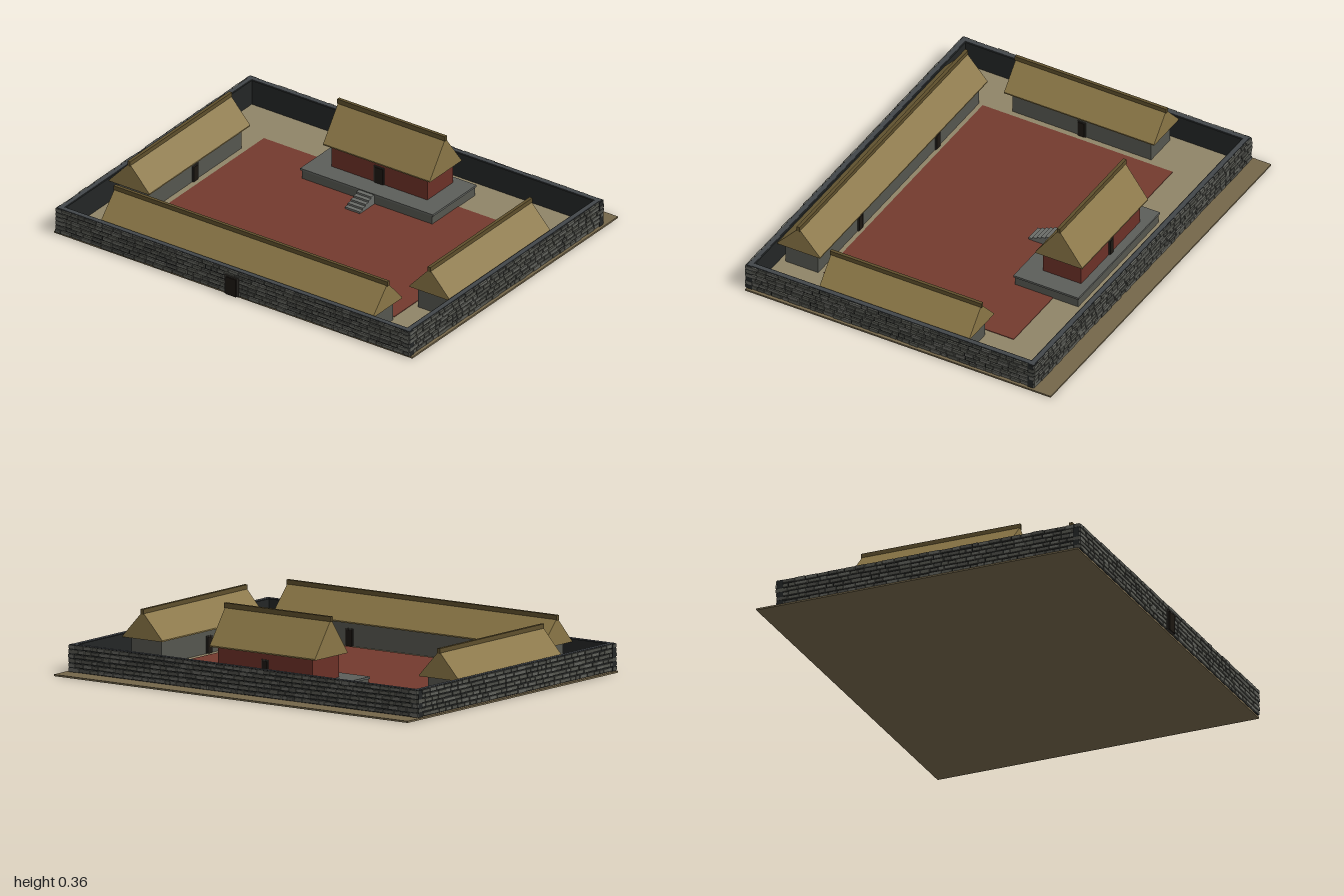
import * as THREE from 'three';
import { mergeGeometries } from 'three/addons/utils/BufferGeometryUtils.js';

const mat = (color) => new THREE.MeshStandardMaterial({ color });
const M = {
  earth: mat(0x74664a), sand: mat(0x8f8468), court: mat(0x733a2e),
  mortar: mat(0x232626), cap: mat(0x42464a), plaster: mat(0x55564f),
  platform: mat(0x5c5e5a), step: mat(0x6a6c68), redWall: mat(0x6b3027),
  thatch: mat(0x8a7646), ridge: mat(0x5e4f2c), dark: mat(0x1c1712), frame: mat(0x33302b),
};
const stoneMats = [0x55564f, 0x4b4c47, 0x5f605a].map(mat);

// Small seeded generator for the masonry
let seed = 7;
const rand = () => (seed = (seed * 16807) % 2147483647) / 2147483647;

// Box given by its minimum and maximum on each axis
function box(parent, name, material, x0, x1, y0, y1, z0, z1) {
  const mesh = new THREE.Mesh(new THREE.BoxGeometry(x1 - x0, y1 - y0, z1 - z0), material);
  mesh.position.set((x0 + x1) / 2, (y0 + y1) / 2, (z0 + z1) / 2);
  mesh.name = name;
  parent.add(mesh);
  return mesh;
}

// One run of wall along local x, with its outer face towards local +z
function stoneWall(name, length) {
  const wall = new THREE.Group();
  wall.name = name;
  const h = 0.135, base = 0.008, rows = 6, rowH = (h - base) / rows;
  box(wall, 'wallCore', M.mortar, -length / 2, length / 2, base, h - 0.002, -0.034, -0.005);
  box(wall, 'wallTop', M.cap, -length / 2 + 0.006, length / 2 - 0.006, h - 0.004, h, -0.028, -0.007);
  const sets = [[], [], []];
  for (let r = 0; r < rows; r++) {
    let x = -length / 2;
    while (x < length / 2 - 0.005) {
      let w = 0.03 + rand() * 0.035;
      if (x + w > length / 2 - 0.02) w = length / 2 - x;
      const d = 0.006 + rand() * 0.004;
      const g = new THREE.BoxGeometry(w - 0.004, rowH - 0.004 - rand() * 0.003, d);
      g.translate(x + w / 2, base + (r + 0.5) * rowH, -0.006 + d / 2);
      sets[Math.floor(rand() * 3)].push(g);
      x += w;
    }
  }
  sets.forEach((set, i) => {
    const mesh = new THREE.Mesh(mergeGeometries(set), stoneMats[i]);
    mesh.name = 'wallStones';
    wall.add(mesh);
  });
  return wall;
}

// Gabled thatched roof running along local x, with a ridge beam
function gableRoof(length, halfDepth, eaveY, peakY) {
  const roof = new THREE.Group();
  roof.name = 'roof';
  const h = peakY - eaveY;
  const s = new THREE.Shape([
    [-halfDepth, 0], [halfDepth, 0], [halfDepth, 0.006], [0, h], [-halfDepth, 0.006],
  ].map(([x, y]) => new THREE.Vector2(x, y)));
  const g = new THREE.ExtrudeGeometry(s, { depth: length, bevelEnabled: false });
  g.translate(0, eaveY, -length / 2).rotateY(Math.PI / 2);
  const thatch = new THREE.Mesh(g, M.thatch);
  thatch.name = 'thatch';
  roof.add(thatch);
  box(roof, 'ridgeBeam', M.ridge, -length / 2 - 0.004, length / 2 + 0.004, peakY - 0.012, peakY + 0.012, -0.008, 0.008);
  return roof;
}

// Framed doorway on a face at local z, opening towards dir (+1 or -1)
function door(parent, x, y, z, w, h, dir) {
  const slab = (name, m, hw, top, out) =>
    box(parent, name, m, x - hw, x + hw, y, y + top, Math.min(z, z + dir * out), Math.max(z, z + dir * out));
  slab('doorFrame', M.frame, w / 2 + 0.006, h + 0.006, 0.004);
  slab('doorPanel', M.dark, w / 2, h, 0.007);
}

// Hall along local x; its doors face local -z, towards the courtyard
function sideHall(name, length, doors) {
  const hall = new THREE.Group();
  hall.name = name;
  const half = length / 2 - 0.03;
  box(hall, 'hallWalls', M.plaster, -half, half, 0.008, 0.125, -0.085, 0.085);
  hall.add(gableRoof(length, 0.112, 0.12, 0.248));
  doors.forEach((x) => door(hall, x, 0.01, -0.085, 0.032, 0.075, -1));
  return hall;
}

export function createModel() {
  const model = new THREE.Group();
  model.name = 'walledCompound';

  // Ground layers
  box(model, 'ground', M.earth, -1, 1, 0, 0.008, -0.81, 0.79);
  box(model, 'sandYard', M.sand, -0.96, 0.96, 0.007, 0.01, -0.69, 0.77);
  box(model, 'redCourtyard', M.court, -0.722, 0.72, 0.008, 0.013, -0.455, 0.54);

  // Enclosing walls: front, back and the two sides
  [
    ['frontWall', 1.976, 0, 0.796, 0],
    ['backWall', 1.976, 0, -0.716, Math.PI],
    ['leftWall', 1.51, 0.986, 0.04, Math.PI / 2],
    ['rightWall', 1.51, -0.986, 0.04, -Math.PI / 2],
  ].forEach(([name, length, x, z, turn]) => {
    const wall = stoneWall(name, length);
    wall.position.set(x, 0, z);
    wall.rotation.y = turn;
    model.add(wall);
  });

  // Gate in the front wall
  const gate = new THREE.Group();
  gate.name = 'gate';
  box(gate, 'gateFrame', M.frame, -0.038, 0.038, 0.008, 0.105, 0.79, 0.803);
  box(gate, 'gatePanel', M.dark, -0.028, 0.028, 0.008, 0.098, 0.79, 0.809);
  model.add(gate);

  // Long front hall and the pair of side halls
  const frontHall = sideHall('frontHall', 1.52, [-0.35, 0.35]);
  frontHall.position.z = 0.648;
  model.add(frontHall);
  [-1, 1].forEach((s) => {
    const hall = sideHall(s > 0 ? 'leftHall' : 'rightHall', 0.785, [0]);
    hall.position.set(s * 0.838, 0, 0.038);
    hall.rotation.y = s * Math.PI / 2;
    model.add(hall);
  });

  // Main hall on its platform
  const main = new THREE.Group();
  main.name = 'mainHall';
  box(main, 'platformBase', M.plaster, -0.366, 0.362, 0.008, 0.055, -0.586, -0.254);
  box(main, 'platformTop', M.platform, -0.372, 0.368, 0.055, 0.065, -0.59, -0.25);
  const house = new THREE.Group();
  house.name = 'house';
  house.position.z = -0.447;
  box(house, 'redWalls', M.redWall, -0.268, 0.268, 0.06, 0.185, -0.1, 0.1);
  door(house, 0, 0.065, 0.1, 0.045, 0.08, 1);
  door(house, 0, 0.065, -0.1, 0.025, 0.075, -1);
  house.add(gableRoof(0.595, 0.123, 0.176, 0.35));
  main.add(house);

  // Steps up to the platform
  const steps = 5;
  for (let i = 0; i < steps; i++) {
    const z = -0.14 - i * 0.022;
    box(main, 'step', M.step, -0.044, 0.04, 0.008, 0.013 + (i + 1) * 0.0095, z - 0.024, z);
  }
  model.add(main);
  return model;
}
